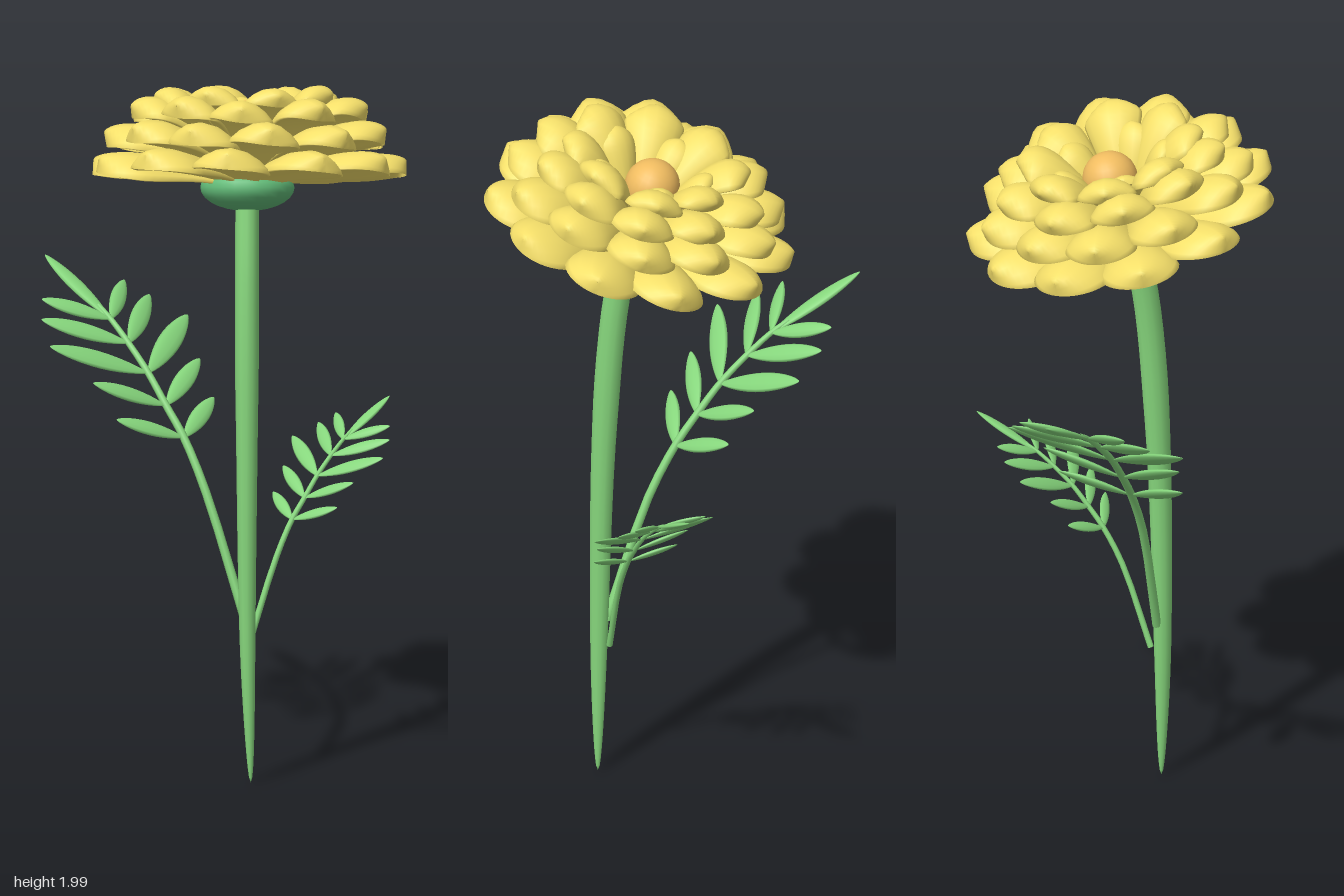
import * as THREE from 'three';
import { mergeVertices } from 'three/addons/utils/BufferGeometryUtils.js';

const V = (x, y, z) => new THREE.Vector3(x, y, z);
const mat = (color) => new THREE.MeshStandardMaterial({ color, roughness: 0.8 });
const petalMat = mat(0xf6e06a), stemMat = mat(0x86d67c), calyxMat = mat(0x62bb78), heartMat = mat(0xf0bc60);

let seed = 7;
const jitter = (a) => {
  seed = (seed * 16807) % 2147483647;
  return (seed / 2147483647 - 0.5) * 2 * a;
};

// Sweeps elliptical sections along a curve: half width, half thickness and edge droop depend on u
function loft(curve, us, sideHint, width, thick, sides = 12, droop = () => 0) {
  const pos = [], index = [];
  us.forEach((u, i) => {
    const c = curve.getPoint(u), t = curve.getTangent(u);
    const side = sideHint.clone().addScaledVector(t, -sideHint.dot(t)).normalize();
    const up = t.clone().cross(side);
    for (let j = 0; j < sides; j++) {
      const a = (j / sides) * Math.PI * 2, k = Math.cos(a);
      const p = c.clone().addScaledVector(side, width(u) * k)
        .addScaledVector(up, thick(u) * Math.sin(a) + droop(u) * k * k);
      pos.push(p.x, p.y, p.z);
      if (i < us.length - 1) {
        const n = (j + 1) % sides, r = i * sides, s = r + sides;
        index.push(r + j, r + n, s + j, r + n, s + n, s + j);
      }
    }
  });
  let g = new THREE.BufferGeometry();
  g.setAttribute('position', new THREE.Float32BufferAttribute(pos, 3));
  g.setIndex(index);
  g = mergeVertices(g, 1e-5);
  g.computeVertexNormals();
  return g;
}

function add(parent, name, geometry, material) {
  const m = new THREE.Mesh(geometry, material);
  m.name = name;
  parent.add(m);
  return m;
}

const steps = (n, f = (x) => x) => Array.from({ length: n + 1 }, (_, i) => f(i / n));

// Stem: gently leaning, rounded to a point at the foot, a little deeper than wide
function addStem(root) {
  const curve = new THREE.CatmullRomCurve3([
    V(0.077, 0, 0.133), V(0.068, 0.4, 0.133), V(0.066, 1, 0.12), V(0.066, 1.4, 0.09), V(0.066, 1.66, 0.045)]);
  const radius = (u) => 0.033 * Math.pow(Math.min(1, u / 0.6), 0.47);
  add(root, 'stem', loft(curve, steps(28, (x) => x ** 1.4), V(1, 0, 0), radius, (u) => radius(u) * 1.15), stemMat);
}

// Compound leaf: curved stalk, five mirrored pairs of leaflets and one at the tip
function addLeaf(root, base, scale, sx) {
  const leaf = new THREE.Group();
  leaf.name = 'leaf';
  root.add(leaf);
  const place = (p) => V(p.x * sx, p.y, p.z).multiplyScalar(scale).add(base);
  const nodes = [V(-0.17, 0.48, -0.14), V(-0.22, 0.56, -0.185), V(-0.27, 0.64, -0.235),
    V(-0.325, 0.71, -0.293), V(-0.375, 0.765, -0.347)];
  const tips = [V(-0.185, 0.07, 0.08), V(-0.2, 0.085, 0.09), V(-0.27, 0.1, 0.105),
    V(-0.24, 0.08, 0.055), V(-0.19, 0.065, 0.035)];
  const stalk = new THREE.CatmullRomCurve3(
    [V(0, 0, 0), V(-0.105, 0.33, -0.08), ...nodes, V(-0.41, 0.795, -0.387)].map(place));
  const stalkR = (u) => scale * (0.013 - 0.006 * u);
  add(leaf, 'leafStalk', loft(stalk, steps(20), V(sx, 0, -1), stalkR, stalkR, 8), stemMat);

  const blade = (from, offset, sideDir, half) => {
    const a = place(from), b = place(from.clone().add(offset));
    const shape = (u) => scale * Math.pow(Math.max(0, Math.sin(Math.PI * u ** 1.1)), 0.65);
    add(leaf, 'leaflet', loft(new THREE.LineCurve3(a, b), steps(16, (x) => (1 - Math.cos(Math.PI * x)) / 2),
      V(sideDir.x * sx, sideDir.y, sideDir.z), (u) => half * shape(u), (u) => 0.01 * shape(u), 10), stemMat);
  };
  const along = V(-0.52, 0.68, -0.52);
  nodes.forEach((n, i) => {
    const t = tips[i], half = 0.075 * t.length() + 0.009;
    blade(n, t, along, half);
    blade(n, V(t.z, t.y, t.x), along, half);
  });
  blade(nodes[4], V(-0.185, 0.135, -0.195), V(1, 0, -1), 0.026);
}

// One petal lying in the radius-height plane, narrow at the base, with drooping edges and a round tip
function petalGeometry(r, h, half, rise, droop, roll) {
  const curve = new THREE.QuadraticBezierCurve3(V(0.025, 0.01, 0), V(r * 0.6, h * rise, 0), V(r, h, 0));
  const round = (u) => (u < 0.68 ? 1 : Math.sqrt(Math.max(0, 1 - ((u - 0.68) / 0.32) ** 2)));
  const grow = (u) => THREE.MathUtils.smoothstep(u, -0.1, 0.75);
  const tipDrop = (u) => droop * Math.max(0, (u - 0.68) / 0.32) ** 2;
  return loft(curve, steps(18, (x) => Math.sin(x * Math.PI / 2)), V(0, Math.sin(roll), Math.cos(roll)),
    (u) => half * (0.25 + 0.75 * grow(u)) * round(u),
    (u) => 0.024 * (0.4 + 0.6 * grow(u)) * round(u), 16,
    (u) => droop * grow(u) * round(u) ** 2 + tipDrop(u));
}

export function createModel() {
  const root = new THREE.Group();
  root.name = 'flower';
  addStem(root);
  addLeaf(root, V(0.06, 0.46, 0.113), 1, 1);
  addLeaf(root, V(0.073, 0.39, 0.1), 0.68, -1);

  // Flower head, tilted backwards
  const head = new THREE.Group();
  head.name = 'flowerHead';
  head.position.set(0.066, 1.66, 0.034);
  head.rotation.x = -0.25;
  root.add(head);

  const calyx = add(head, 'calyx', new THREE.SphereGeometry(1, 24, 14), calyxMat);
  calyx.scale.set(0.13, 0.065, 0.13);
  calyx.position.y = 0.006;
  add(head, 'flowerCentre', new THREE.SphereGeometry(0.077, 24, 16), heartMat).position.set(0, 0.17, -0.015);

  // Petal rings from the outside in: count, radius, height, half width, rise, droop, first angle
  const rings = [
    [11, 0.435, 0.085, 0.112, 1.05, 0.04, -5],
    [11, 0.395, 0.158, 0.102, 1.2, 0.04, 12],
    [10, 0.34, 0.22, 0.094, 1.22, 0.036, 0],
    [8, 0.265, 0.255, 0.085, 1.2, 0.028, 20],
    [5, 0.17, 0.245, 0.058, 0.85, 0.012, 46],
  ];
  rings.forEach(([count, r, h, half, rise, droop, start], ring) => {
    for (let i = 0; i < count; i++) {
      const g = petalGeometry(r + jitter(0.008), h + jitter(0.008), half, rise, droop, 0.1 + jitter(0.05));
      const p = add(head, 'petalRing' + (ring + 1), g, petalMat);
      p.rotation.y = THREE.MathUtils.degToRad(start - 90 + (i * 360) / count + jitter(3));
    }
  });
  return root;
}
